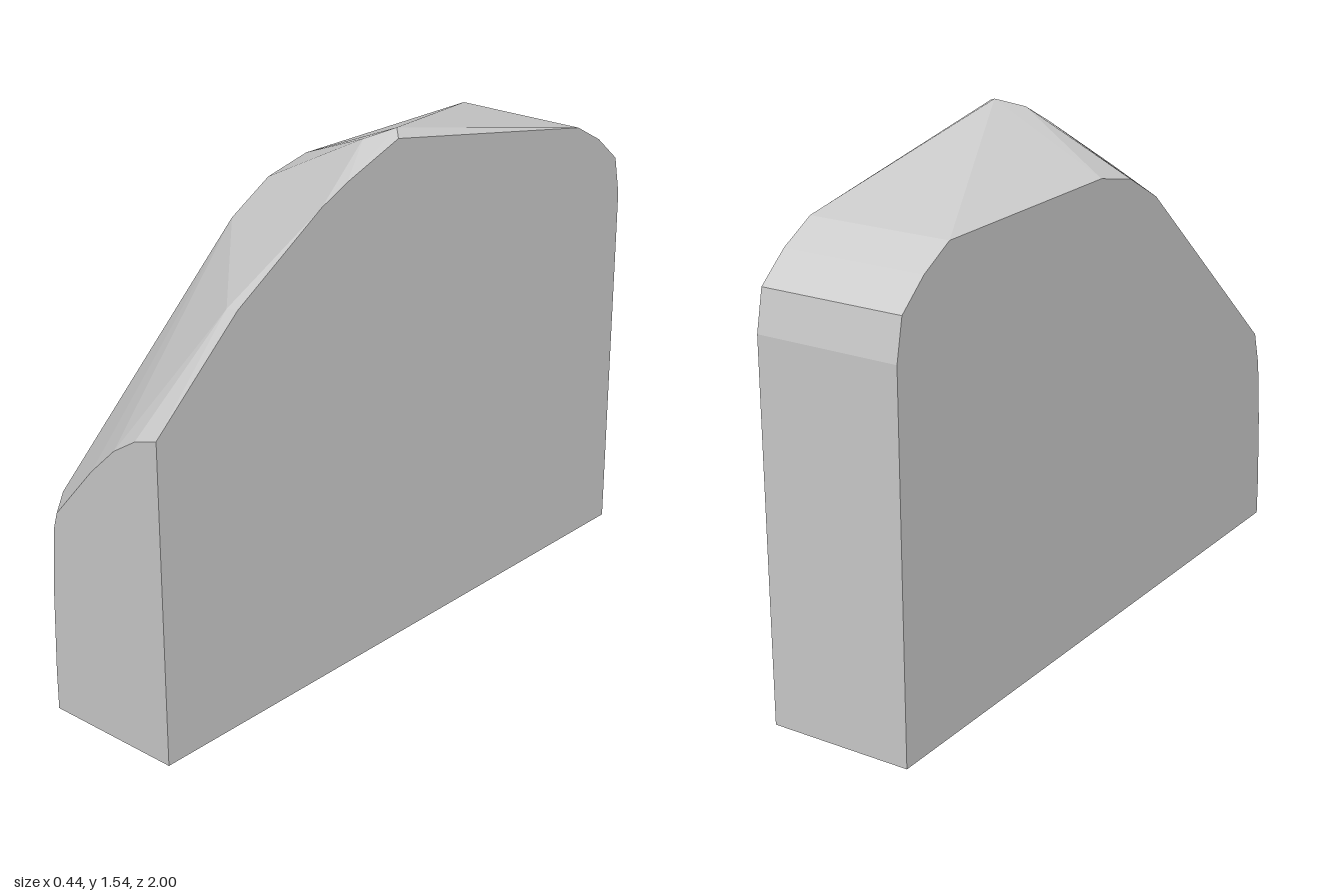
import * as THREE from 'three';
import { ConvexGeometry } from 'three/addons/geometries/ConvexGeometry.js';

const HALF_WIDTH = 0.22;

// Outline of the rounded back, shared by both sides, as [z, y]
const BACK = [[-1, 0], [-1, 1.12], [-0.975, 1.24], [-0.88, 1.32], [-0.77, 1.38]];

// Rest of each side's outline, from top to front foot, as [z, y]
const LEFT = [[0.07, 1.53], [0.28, 1.455], [0.38, 1.41], [0.7, 1.215], [1, 0.95], [1, 0]];
const RIGHT = [[-0.04, 1.38], [0.12, 1.345], [0.27, 1.26], [0.94, 0.65], [0.97, 0.54], [0.99, 0.34], [1, 0.12], [1, 0]];

// Curved upper edge of the flat front, as [x, y]
const FRONT = [[-0.21, 0.4], [-0.195, 0.57], [-0.18, 0.62], [-0.03, 0.79], [0.06, 0.875], [0.14, 0.925]];

// Peak and the soft bulge of the sloping top, as [x, y, z]
const CROWN = [[0.18, 1.545, 0.03], [0.12, 1.517, 0.1], [0.18, 1.209, 0.7]];

export function createModel() {
  const stone = new THREE.MeshStandardMaterial({ color: 0xcccccc });
  stone.name = 'pale grey';

  const side = (x, outline) => outline.map(([z, y]) => new THREE.Vector3(x, y, z));
  const points = [
    ...side(HALF_WIDTH, [...BACK, ...LEFT]),
    ...side(-HALF_WIDTH, [...BACK, ...RIGHT]),
    ...FRONT.map(([x, y]) => new THREE.Vector3(x, y, 1)),
    ...CROWN.map((p) => new THREE.Vector3(...p)),
  ];

  // One faceted convex block wraps all the outlines
  const block = new THREE.Mesh(new ConvexGeometry(points), stone);
  block.name = 'block';

  const model = new THREE.Group();
  model.name = 'facetedBlock';
  model.add(block);
  return model;
}
